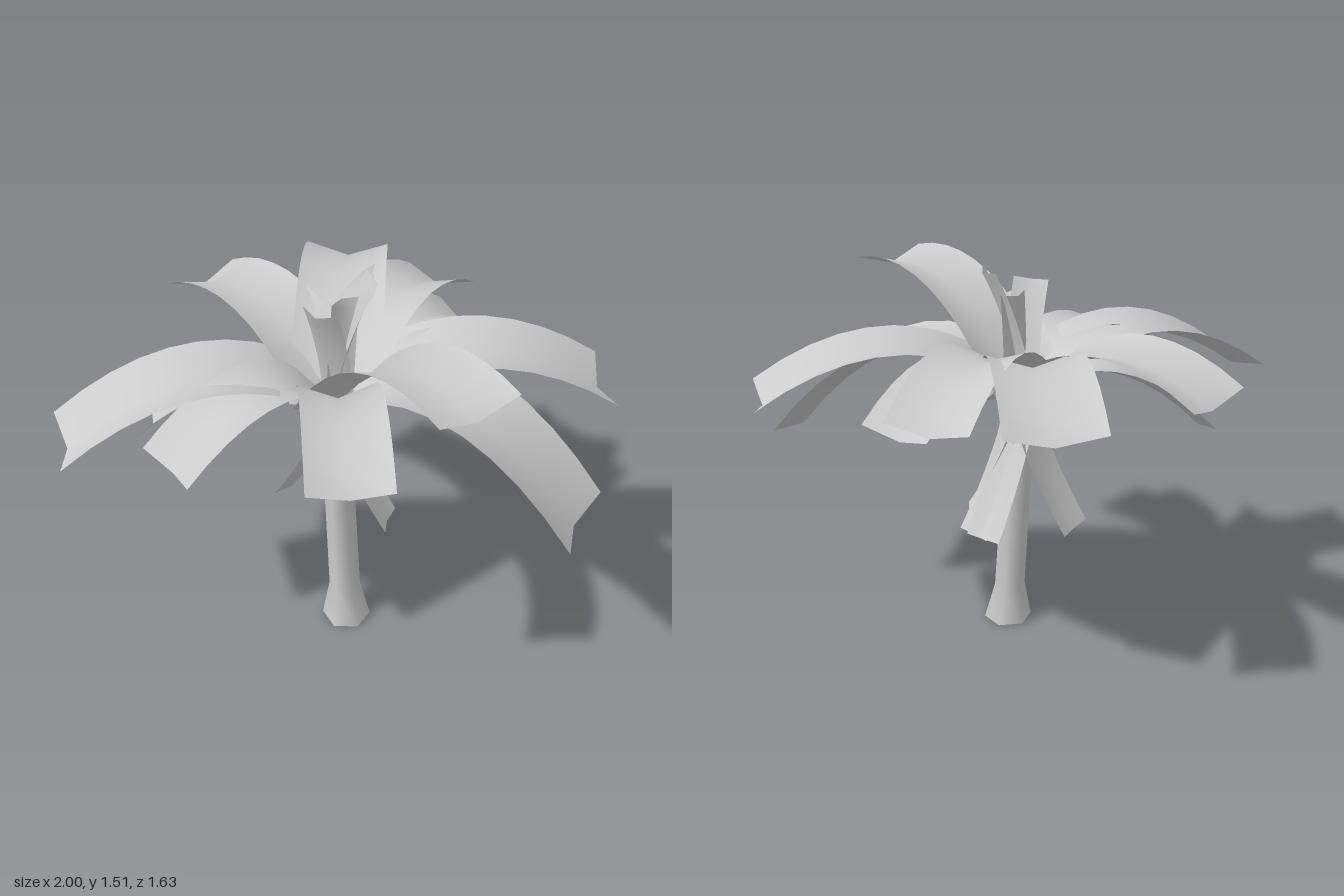
import * as THREE from 'three';

const material = new THREE.MeshStandardMaterial({ color: 0xcccccc, side: THREE.DoubleSide });
const CROWN_X = 0.0, CROWN_Z = 0.07;

// A leaf blade: a shallow V section swept along an arching curve from the crown.
// tip = end of the midrib, bendY / bendAt = height and fraction of the curve's control point
function leaf(name, { tip, bendY, bendAt = 0.45, startY = 1.0, half = 0.17, lift = 0.05, acrossAngle = null }) {
  const start = new THREE.Vector3(CROWN_X, startY, CROWN_Z);
  const end = new THREE.Vector3(...tip);
  const bend = start.clone().lerp(end, bendAt).setY(bendY);
  const curve = new THREE.QuadraticBezierCurve3(start, bend, end);
  const across = acrossAngle === null
    ? new THREE.Vector3(-(end.z - start.z), 0, end.x - start.x).normalize()
    : new THREE.Vector3(Math.cos(acrossAngle), 0, Math.sin(acrossAngle));
  const steps = 10, positions = [], index = [];
  for (let i = 0; i <= steps; i++) {
    const p = curve.getPoint(i / steps);
    const up = across.clone().cross(curve.getTangent(i / steps)).normalize();
    for (const s of [-1, 0, 1]) {
      const v = p.clone().addScaledVector(across, s * half).addScaledVector(up, Math.abs(s) * lift);
      positions.push(v.x, v.y, v.z);
    }
    if (i === steps) continue;
    for (const k of [0, 1]) {
      const a = i * 3 + k;
      index.push(a, a + 3, a + 1, a + 1, a + 3, a + 4);
    }
  }
  const geometry = new THREE.BufferGeometry();
  geometry.setAttribute('position', new THREE.Float32BufferAttribute(positions, 3));
  geometry.setIndex(index);
  geometry.computeVertexNormals();
  const mesh = new THREE.Mesh(geometry, material);
  mesh.name = name;
  return mesh;
}

// Six-sided trunk with a flared foot, leaning towards the crown
function trunk() {
  const profile = [[0.097, 0], [0.062, 0.16], [0.059, 0.55], [0.058, 0.94], [0.03, 0.975], [0, 0.985]]
    .map(([r, y]) => new THREE.Vector2(r, y));
  const geometry = new THREE.LatheGeometry(profile, 6, Math.PI / 6);
  const pos = geometry.attributes.position;
  for (let i = 0; i < pos.count; i++) {
    const low = 1 - pos.getY(i);
    pos.setX(i, pos.getX(i) + CROWN_X + 0.05 * low);
    pos.setZ(i, pos.getZ(i) + CROWN_Z + 0.065 * low);
  }
  const mesh = new THREE.Mesh(geometry, material);
  mesh.name = 'trunk';
  return mesh;
}

export function createModel() {
  const model = new THREE.Group();
  model.name = 'palmTree';
  model.add(trunk());

  // Large arching fronds around the crown
  const fronds = new THREE.Group();
  fronds.name = 'fronds';
  [
    { tip: [0.02, 1.17, -0.785], bendY: 1.44, half: 0.165 },
    { tip: [-0.92, 1.0, 0.355], bendY: 1.4, half: 0.175 },
    { tip: [0.955, 1.06, -0.01], bendY: 1.41, half: 0.175 },
    { tip: [0.845, 0.795, 0.455], bendY: 1.43, half: 0.18 },
    { tip: [0.45, 1.39, 0.675], bendY: 1.51, half: 0.158 },
    { tip: [0.075, 1.155, 0.775], bendY: 1.39, half: 0.14 },
    { tip: [-0.52, 1.03, 0.515], bendY: 1.36, half: 0.14, bendAt: 0.4 },
    { tip: [-0.69, 0.87, 0.03], bendY: 1.26, half: 0.14 },
    { tip: [-0.55, 1.16, -0.54], bendY: 1.42, half: 0.158 },
    { tip: [0.39, 1.145, -0.6], bendY: 1.45, half: 0.15, bendAt: 0.4 },
    { tip: [0.48, 1.07, -0.44], bendY: 1.36, half: 0.14 },
  ].forEach((f) => fronds.add(leaf('frond', f)));
  model.add(fronds);

  // Three young upright leaves
  const young = new THREE.Group();
  young.name = 'youngLeaves';
  [
    { tip: [0.145, 1.5, 0.045], bendY: 1.3, bendAt: 0.3, half: 0.08 },
    { tip: [-0.062, 1.435, 0.172], bendY: 1.25, bendAt: 0.3, half: 0.07 },
    { tip: [0.02, 1.42, 0.01], bendY: 1.25, bendAt: 0.3, half: 0.058, acrossAngle: -0.6 },
  ].forEach((f) => young.add(leaf('youngLeaf', { lift: 0.03, ...f })));
  model.add(young);

  // Dry leaves hanging beside the trunk
  const dry = new THREE.Group();
  dry.name = 'dryLeaves';
  for (const [x, z, half] of [[0.205, 0.125, 0.075], [0.2, -0.07, 0.075], [0.17, -0.11, 0.075], [-0.18, -0.075, 0.088]]) {
    dry.add(leaf('dryLeaf', {
      tip: [x, 0.5, z], bendY: 0.72, bendAt: 0.35, startY: 0.95, half, lift: 0.015,
    }));
  }
  model.add(dry);
  return model;
}
